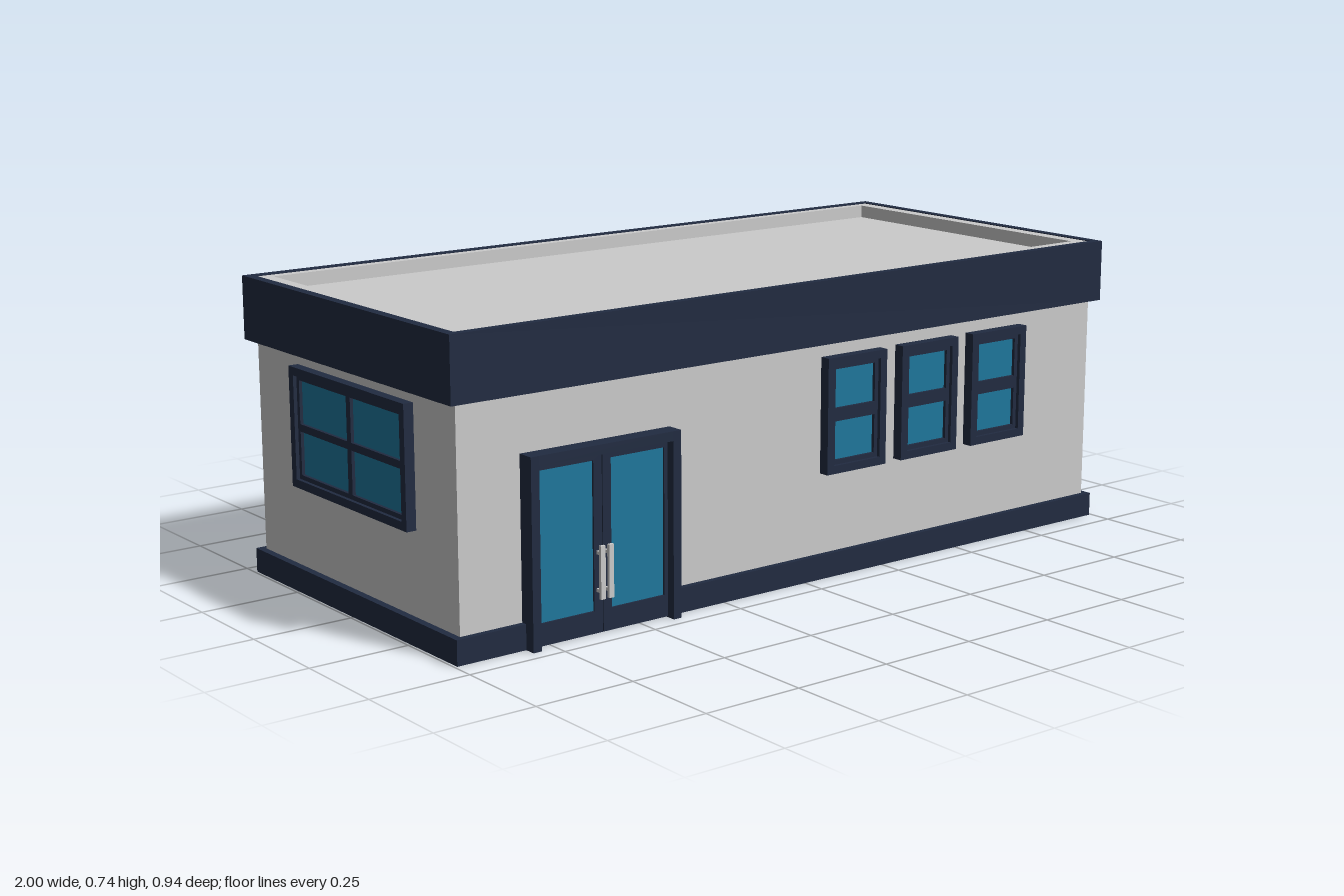
import * as THREE from 'three';

const grey = new THREE.MeshStandardMaterial({ color: 0xcccccc });
const navy = new THREE.MeshStandardMaterial({ color: 0x212b41 });
const glass = new THREE.MeshStandardMaterial({ color: 0x1e779c });

function add(parent, name, geometry, material) {
  const mesh = new THREE.Mesh(geometry, material);
  mesh.name = name;
  parent.add(mesh);
  return mesh;
}

// Box given by its min and max corners
function box(parent, name, material, [x0, y0, z0], [x1, y1, z1]) {
  const mesh = add(parent, name, new THREE.BoxGeometry(x1 - x0, y1 - y0, z1 - z0), material);
  mesh.position.set((x0 + x1) / 2, (y0 + y1) / 2, (z0 + z1) / 2);
  return mesh;
}

function rect(C, x0, y0, x1, y1) {
  return new C([[x0, y0], [x1, y0], [x1, y1], [x0, y1]].map(p => new THREE.Vector2(...p)));
}

// Rectangular plate with rectangular openings, extruded along +z from z0
function frame(parent, name, material, outer, holes, z0, z1) {
  const shape = rect(THREE.Shape, ...outer);
  shape.holes = holes.map(h => rect(THREE.Path, ...h));
  const geometry = new THREE.ExtrudeGeometry(shape, { depth: z1 - z0, bevelEnabled: false });
  return add(parent, name, geometry.translate(0, 0, z0), material);
}

// Horizontal ring around the building; the shape's y becomes -z
function band(parent, name, material, outer, inner, y0, y1) {
  const ring = frame(parent, name, material, outer, [inner], y0, y1);
  ring.rotation.x = -Math.PI / 2;
  return ring;
}

// Window centred on its own origin, its back on z = 0, with a grid of panes
function makeWindow(name, w, h, cols, bar) {
  const g = new THREE.Group();
  g.name = name;
  const x = w / 2, y = h / 2, t = 0.02, s = 0.031;
  frame(g, 'windowFrame', navy, [-x, -y, x, y], [[-x + t, -y + t, x - t, y - t]], 0, 0.027);
  const pw = (w - 2 * s - (cols - 1) * bar) / cols;
  const ph = (h - 2 * s - bar) / 2;
  const holes = [];
  for (let c = 0; c < cols; c++) {
    for (let r = 0; r < 2; r++) {
      const px = -x + s + c * (pw + bar), py = -y + s + r * (ph + bar);
      holes.push([px, py, px + pw, py + ph]);
    }
  }
  frame(g, 'windowSash', navy, [-x + t, -y + t, x - t, y - t], holes, 0, 0.018);
  box(g, 'windowGlass', glass, [-x + t, -y + t, 0.001], [x - t, y - t, 0.01]);
  return g;
}

function makeDoor() {
  const g = new THREE.Group();
  g.name = 'doubleDoor';
  const mid = -0.606, half = 0.206, jamb = 0.022;
  // Jambs and lintel
  for (const s of [-1, 1]) {
    const a = mid + s * half, b = mid + s * (half - jamb);
    box(g, 'doorJamb', navy, [Math.min(a, b), 0, 0.42], [Math.max(a, b), 0.445, 0.468]);
  }
  box(g, 'doorLintel', navy, [mid - half + jamb, 0.422, 0.42], [mid + half - jamb, 0.445, 0.468]);
  // Glazed leaves with pull handles
  for (const s of [-1, 1]) {
    const span = (a, b) => [mid + s * a, mid + s * b].sort((p, q) => p - q);
    const [l0, l1] = span(0.001, half - jamb);
    const [p0, p1] = span(0.024, 0.174);
    const [h0, h1] = span(0.005, 0.018);
    frame(g, 'doorLeaf', navy, [l0, 0.003, l1, 0.421], [[p0, 0.055, p1, 0.405]], 0.42, 0.446);
    box(g, 'doorGlass', glass, [p0, 0.055, 0.425], [p1, 0.405, 0.441]);
    box(g, 'doorHandle', grey, [h0, 0.085, 0.456], [h1, 0.21, 0.464]);
    for (const y of [0.1, 0.188]) {
      box(g, 'handleMount', grey, [h0, y, 0.445], [h1, y + 0.008, 0.457]);
    }
  }
  return g;
}

export function createModel() {
  const model = new THREE.Group();
  model.name = 'building';

  // Walls and flat roof with a low parapet
  box(model, 'walls', grey, [-0.975, 0.001, -0.443], [0.975, 0.7, 0.425]);
  band(model, 'parapet', grey, [-0.977, -0.425, 0.977, 0.445], [-0.94, -0.39, 0.94, 0.418], 0.69, 0.733);

  // Dark bands at the foot and the roof edge
  band(model, 'plinth', navy, [-0.993, -0.44, 0.993, 0.461], [-0.974, -0.424, 0.974, 0.442], 0, 0.06);
  band(model, 'fascia', navy, [-0.998, -0.445, 0.998, 0.467], [-0.974, -0.424, 0.974, 0.442], 0.58, 0.735);

  model.add(makeDoor());

  // Three sash windows on the front
  for (const x of [0.15, 0.389, 0.627]) {
    const w = makeWindow('frontWindow', 0.188, 0.286, 1, 0.032);
    w.position.set(x, 0.404, 0.425);
    model.add(w);
  }

  // Wide four-pane window on the side wall
  const side = makeWindow('sideWindow', 0.508, 0.29, 2, 0.018);
  side.position.set(-0.973, 0.407, 0.002);
  side.rotation.y = -Math.PI / 2;
  model.add(side);

  return model;
}
